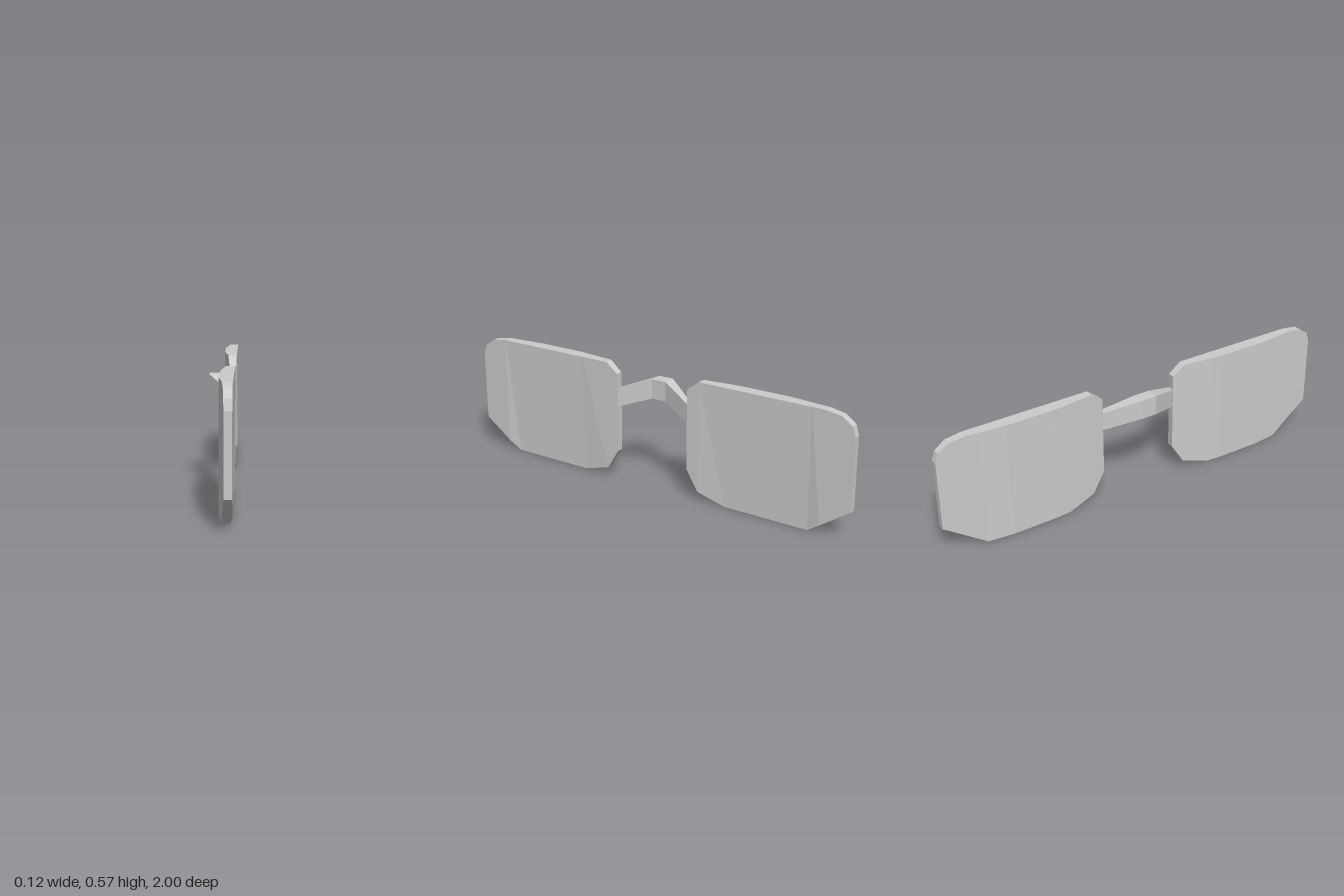
import * as THREE from 'three';

const material = new THREE.MeshStandardMaterial({ color: 0xcccccc, flatShading: true });

// Solid through four-sided sections ordered by rising z; each is [z, yBottom, yTop, xBack, xFrontBottom, xFrontTop]
function loft(name, sections) {
  const rings = sections.map(([z, yb, yt, xb, xfb, xft]) => [
    [xb, yb, z], [xfb, yb, z], [xft, yt, z], [xb, yt, z],
  ]);
  const pos = [];
  const quad = (a, b, c, d) => pos.push(...a, ...b, ...c, ...a, ...c, ...d);
  for (let i = 0; i + 1 < rings.length; i++) {
    const p = rings[i], q = rings[i + 1];
    for (let k = 0; k < 4; k++) {
      const n = (k + 1) % 4;
      quad(p[k], p[n], q[n], q[k]);
    }
  }
  quad(...[...rings[0]].reverse());
  quad(...rings[rings.length - 1]);
  const geometry = new THREE.BufferGeometry();
  geometry.setAttribute('position', new THREE.Float32BufferAttribute(pos, 3));
  geometry.computeVertexNormals();
  const mesh = new THREE.Mesh(geometry, material);
  mesh.name = name;
  return mesh;
}

const mirror = (sections) => sections.map(([z, ...rest]) => [-z, ...rest]).reverse();

export function createModel() {
  const group = new THREE.Group();
  group.name = 'spectacles';

  // Lens: clipped-corner plate, flat on one face and bowed on the other
  const lens = [
    // z, yBottom, yTop, xBack
    [0.19, 0.14, 0.52, 0.027],
    [0.25, 0.042, 0.566, 0.02],
    [0.385, 0, 0.566, 0.005],
    [0.45, 0, 0.566, 0],
    [0.68, 0, 0.566, 0],
    [0.8, 0, 0.566, 0.013],
    [0.86, 0.042, 0.566, 0.018],
    [0.935, 0.095, 0.555, 0.023],
    [0.985, 0.13, 0.52, 0.026],
    [1, 0.14, 0.475, 0.027],
  ].map((s) => [...s, 0.05 + 0.01 * Math.min(1, s[1] / 0.04), 0.06]);
  group.add(loft('leftLens', lens), loft('rightLens', mirror(lens)));

  // Bridge: raised, set-forward bar with two slanted arms
  const arm = [
    [0.037, 0.414, 0.507, -0.06, 0, 0],
    [0.192, 0.36, 0.449, 0.029, 0.058, 0.058],
  ];
  group.add(loft('bridge', [...mirror(arm), ...arm]));

  return group;
}
